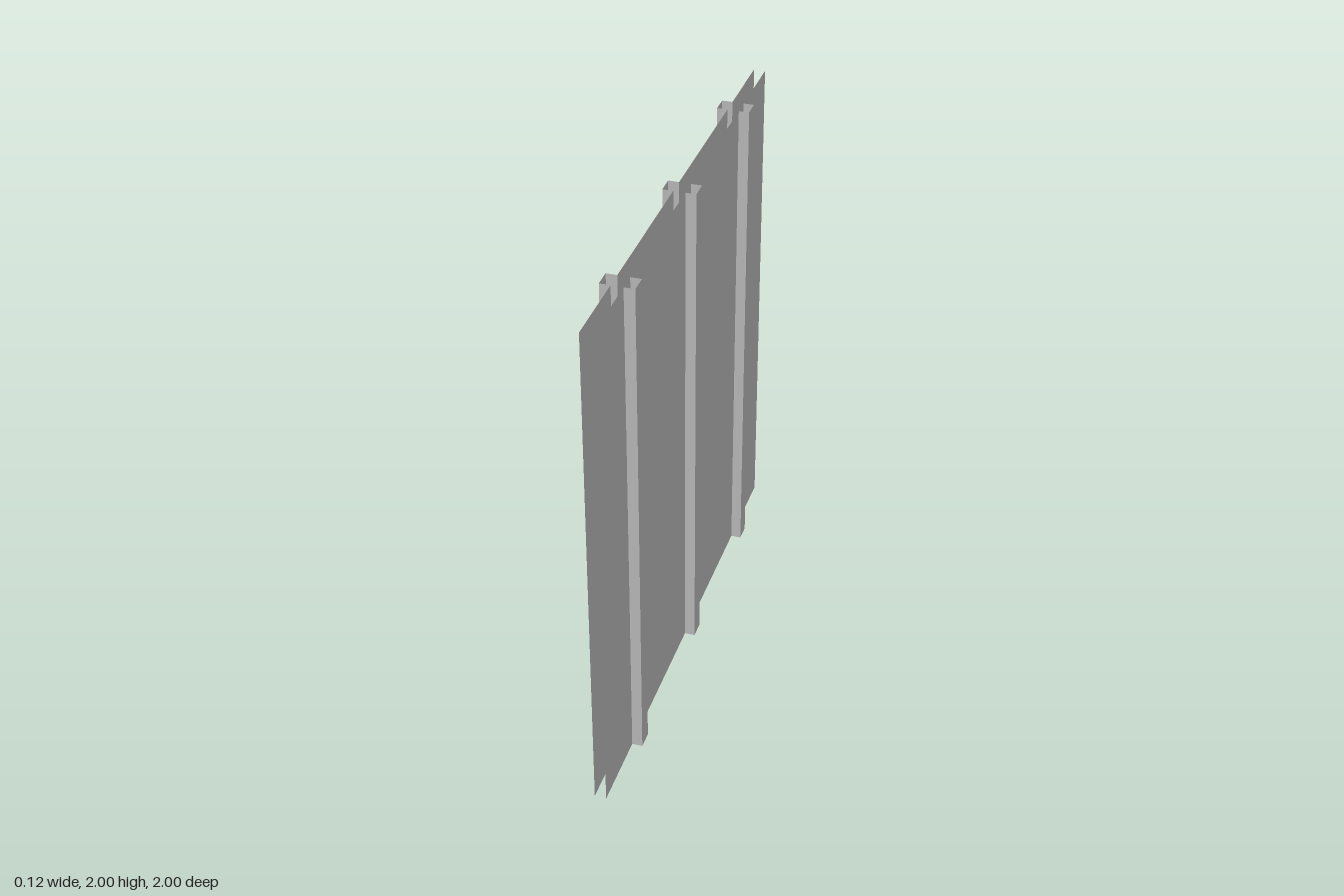
import * as THREE from 'three';

const HEIGHT = 2;
const INNER = 0.022;  // x of the flat sheet
const OUTER = 0.062;  // x of the rib face
const RIB_HALF = 0.0335;
const RIBS = [-0.667, 0, 0.667];

// Cross-section (x, z) of one sheet, folded outward into square ribs
function sheetProfile(side) {
  const pts = [[INNER, -1]];
  for (const z of RIBS) {
    pts.push([INNER, z - RIB_HALF], [OUTER, z - RIB_HALF], [OUTER, z + RIB_HALF], [INNER, z + RIB_HALF]);
  }
  pts.push([INNER, 1]);
  return pts.map(([x, z]) => [x * side, z]);
}

// Raise the cross-section into an open, zero-thickness sheet with sharp folds
function raise(profile) {
  const pos = [];
  for (let i = 0; i < profile.length - 1; i++) {
    const [ax, az] = profile[i], [bx, bz] = profile[i + 1];
    pos.push(ax, 0, az, ax, HEIGHT, az, bx, HEIGHT, bz);
    pos.push(ax, 0, az, bx, HEIGHT, bz, bx, 0, bz);
  }
  const geo = new THREE.BufferGeometry();
  geo.setAttribute('position', new THREE.Float32BufferAttribute(pos, 3));
  geo.computeVertexNormals();
  return geo;
}

export function createModel() {
  const group = new THREE.Group();
  group.name = 'ribbedPanel';
  const material = new THREE.MeshStandardMaterial({ color: 0xcccccc, side: THREE.DoubleSide });

  for (const [name, side] of [['leftSheet', 1], ['rightSheet', -1]]) {
    // Reversing one profile keeps both sheets facing outward
    const profile = sheetProfile(side);
    if (side > 0) profile.reverse();
    const geo = raise(profile);
    const mesh = new THREE.Mesh(geo, material);
    mesh.name = name;
    group.add(mesh);
  }
  return group;
}
